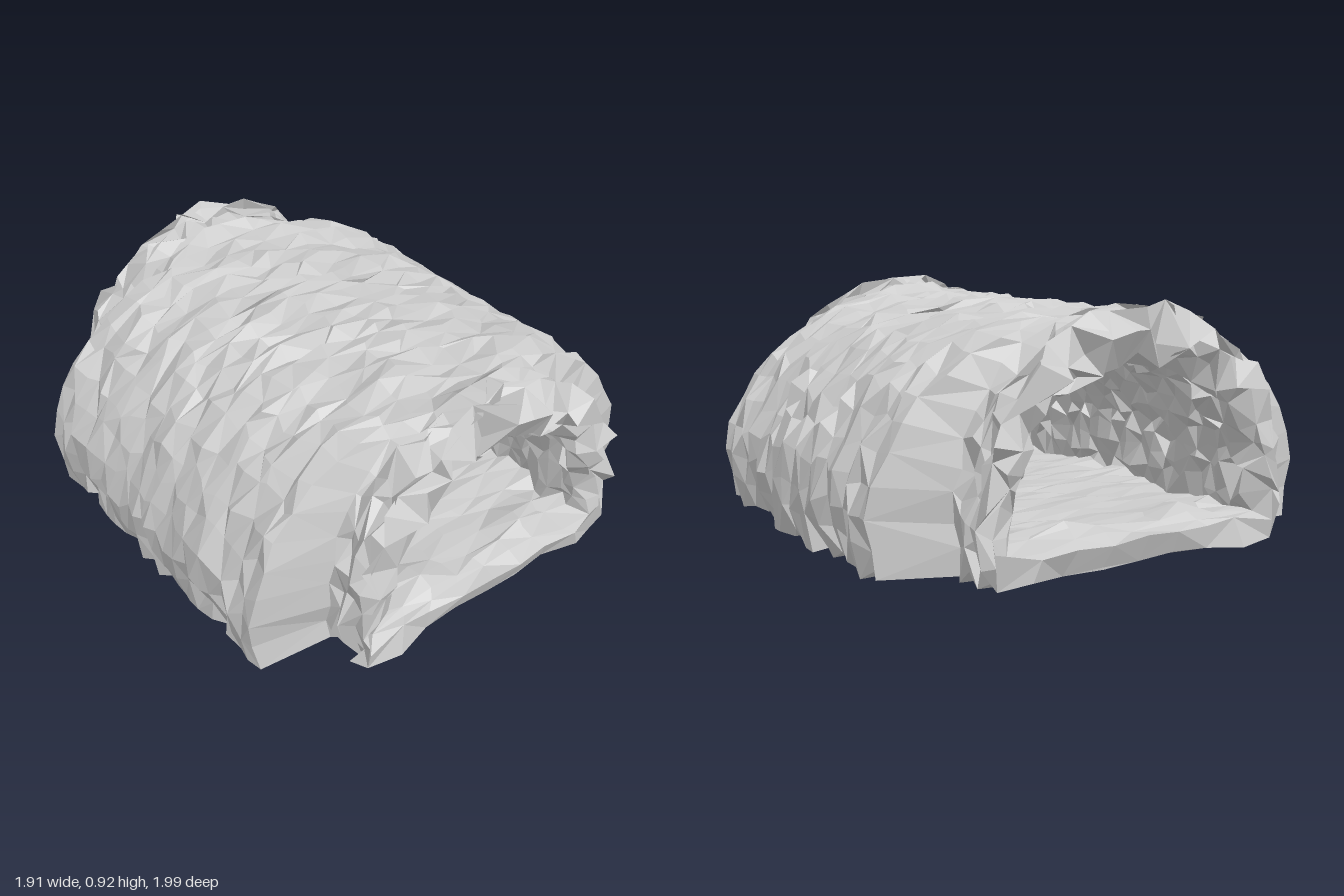
import * as THREE from 'three';

const ARCH = 26, FLOOR = 8, RING = ARCH + FLOOR;

// Small seeded generator, returns -1..1
function makeNoise(seed) {
  let s = seed;
  return () => {
    s = (s * 16807) % 2147483647;
    return (s / 2147483647) * 2 - 1;
  };
}

// Closed cross-section: arch from right foot over to left foot, then floor back to the right.
// The floor can swell into two low mounds.
function section(half, mound = 0) {
  const left = half.slice(0, -1).reverse().map(([x, y]) => [-x, y]);
  const pts = [...half, ...left].map(([x, y]) => new THREE.Vector3(x, y, 0));
  const ring = new THREE.CatmullRomCurve3(pts).getSpacedPoints(ARCH);
  const [fx, fy] = half[0];
  for (let i = 1; i < FLOOR; i++) {
    const t = i / FLOOR;
    ring.push(new THREE.Vector3(fx * (2 * t - 1), fy + mound * Math.sin(2 * Math.PI * t) ** 4, 0));
  }
  return ring;
}

const boreHalf = [[0.52, 0.125], [0.5, 0.28], [0.47, 0.42], [0.4, 0.55], [0.28, 0.65], [0.14, 0.705], [0, 0.715]];
const body = section([[0.89, 0.02], [0.93, 0.25], [0.87, 0.43], [0.72, 0.63], [0.54, 0.76], [0.28, 0.835], [0, 0.855]]);
const collar = section([[0.61, 0.02], [0.63, 0.22], [0.61, 0.38], [0.53, 0.59], [0.38, 0.76], [0.2, 0.86], [0, 0.89]]);
const lip = section([[0.58, 0.11], [0.57, 0.24], [0.54, 0.4], [0.46, 0.57], [0.33, 0.71], [0.17, 0.79], [0, 0.81]]);
const mouth = section(boreHalf, 0.04);
const bore = section(boreHalf);

// Half tunnel from the middle to one mouth: rows of [section, z, roughness]
function halfRows() {
  const rows = [];
  for (let i = 0; i <= 12; i++) rows.push([body, 0.69 * i / 12, i === 12 ? 0.012 : 0.026]);
  rows.push([collar, 0.745, 0.02]);
  for (const z of [0.785, 0.825, 0.865, 0.9]) rows.push([collar, z, 0.036]);
  rows.push([collar, 0.935, 0.038], [lip, 0.945, 0.038]);
  for (const z of [0.91, 0.86, 0.81, 0.75]) rows.push([z > 0.9 ? bore : mouth, z, 0.038]);
  for (let i = 12; i >= 0; i--) rows.push([bore, 0.69 * i / 12, 0.026]);
  return rows;
}

function halfGeometry(mirror) {
  const rand = makeNoise(90217), pos = [], index = [];
  const rows = halfRows(), side = mirror ? -1 : 1;
  for (const [ring, z, rough] of rows) {
    ring.forEach((p, i) => {
      // Floors are smoother than walls, and the crown of the mouth is the most ragged
      const r = i > ARCH ? rough * 0.35 : rough;
      const x = p.x + rand() * r;
      const y = Math.max(0, p.y + rand() * r);
      const dz = rand() * rough * (p.y > 0.6 ? 1.35 : 0.8);
      pos.push(x, y, z === 0 ? 0 : side * Math.min(1, z + dz));
    });
  }
  for (let j = 0; j < rows.length - 1; j++) {
    for (let i = 0; i < RING; i++) {
      const a = j * RING + i, b = j * RING + (i + 1) % RING;
      const c = a + RING, d = b + RING;
      // Alternate the diagonals for a craggy surface
      const tris = (i + j) % 2 ? [a, b, c, b, d, c] : [a, b, d, a, d, c];
      index.push(...(mirror ? tris.reverse() : tris));
    }
  }
  const g = new THREE.BufferGeometry();
  g.setAttribute('position', new THREE.Float32BufferAttribute(pos, 3));
  g.setIndex(index);
  g.computeVertexNormals();
  return g;
}

export function createModel() {
  const model = new THREE.Group();
  model.name = 'rockTunnel';
  const rock = new THREE.MeshStandardMaterial({ color: 0xcccccc, flatShading: true });
  for (const mirror of [false, true]) {
    const half = new THREE.Mesh(halfGeometry(mirror), rock);
    half.name = mirror ? 'backTunnelHalf' : 'frontTunnelHalf';
    model.add(half);
  }
  return model;
}
